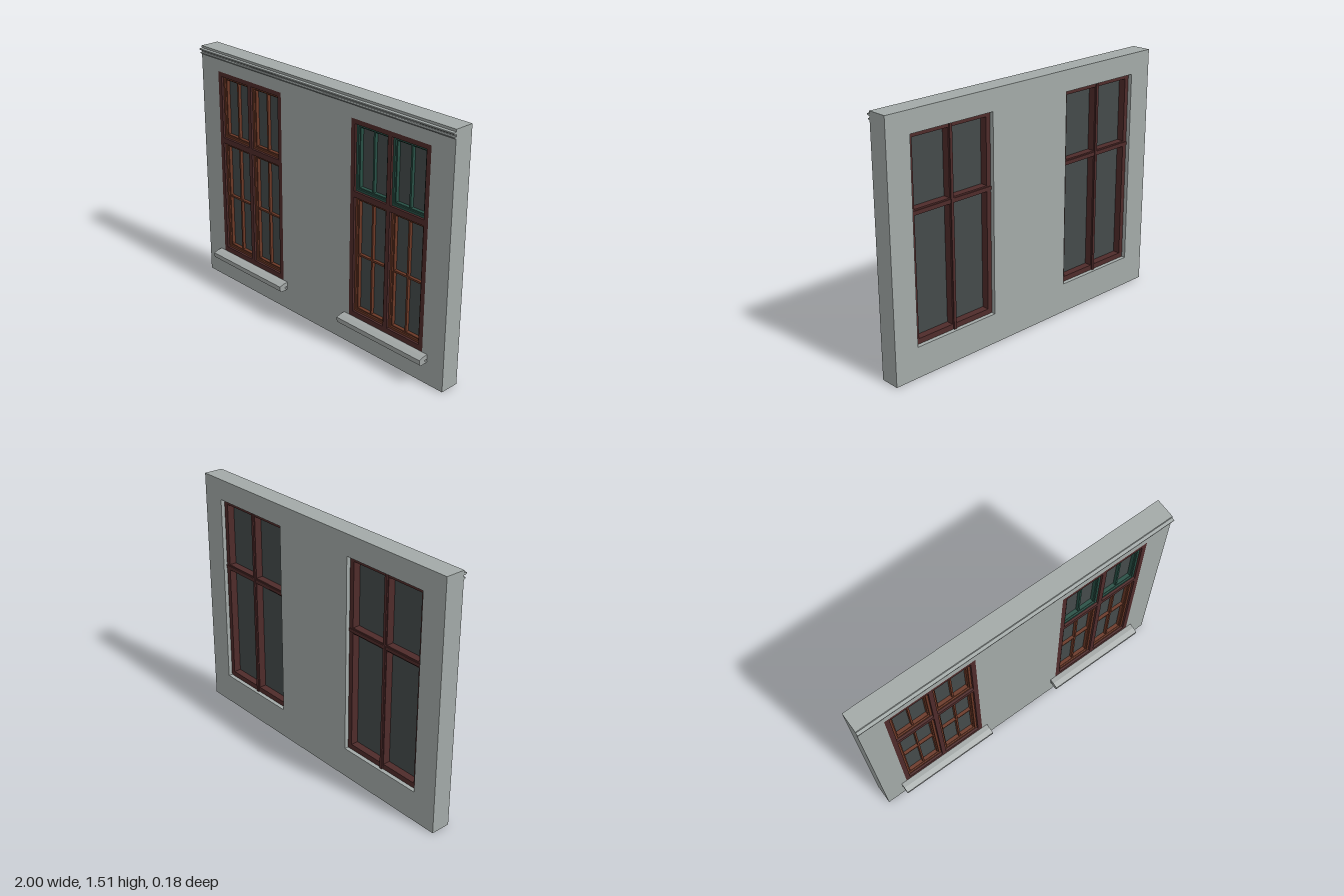
import * as THREE from 'three';

const mat = (name, color) => {
  const m = new THREE.MeshStandardMaterial({ color });
  m.name = name;
  return m;
};

export function createModel() {
  const plaster = mat('grey plaster', 0xa3aaa8);
  const stone = mat('sill stone', 0xa1a6a5);
  const darkWood = mat('dark red wood', 0x4f2b2a);
  const brownWood = mat('brown wood', 0x6b3826);
  const greenWood = mat('green wood', 0x285045);
  const glass = mat('dark glass', 0x444a4a);

  const model = new THREE.Group();
  model.name = 'wallWithWindows';

  const add = (parent, name, geometry, material) => {
    const mesh = new THREE.Mesh(geometry, material);
    mesh.name = name;
    parent.add(mesh);
    return mesh;
  };
  const box = (parent, name, material, x0, x1, y0, y1, z0, z1) => {
    const m = add(parent, name, new THREE.BoxGeometry(x1 - x0, y1 - y0, z1 - z0), material);
    m.position.set((x0 + x1) / 2, (y0 + y1) / 2, (z0 + z1) / 2);
    return m;
  };
  const rect = (T, x0, x1, y0, y1) => new T([
    [x0, y0], [x1, y0], [x1, y1], [x0, y1],
  ].map(p => new THREE.Vector2(...p)));
  // Rectangular panel with rectangular holes, spanning z0..z1
  const panel = (parent, name, material, outer, holes, z0, z1) => {
    const shape = rect(THREE.Shape, ...outer);
    shape.holes = holes.map(h => rect(THREE.Path, ...h));
    const g = new THREE.ExtrudeGeometry(shape, { depth: z1 - z0, bevelEnabled: false });
    g.translate(0, 0, z0);
    return add(parent, name, g, material);
  };
  // (z, y) profile swept along x
  const moulding = (parent, name, material, profile, x0, x1) => {
    const shape = new THREE.Shape(profile.map(([z, y]) => new THREE.Vector2(-z, y)));
    const g = new THREE.ExtrudeGeometry(shape, { depth: x1 - x0, bevelEnabled: false });
    g.rotateY(Math.PI / 2);
    g.translate(x0, 0, 0);
    return add(parent, name, g, material);
  };

  // Wall with two openings
  const W = 0.282, H = 0.187, TOP = 1.386, C = 0.565; // half width, bottom, top, centre
  const openings = [-C, C].map(c => [c - W, c + W, H, TOP]);
  panel(model, 'wall', plaster, [-1, 1, 0, 1.513], openings, -0.09, 0.03);

  // Cornice strips
  moulding(model, 'upperCornice', plaster,
    [[0.03, 1.486], [0.042, 1.486], [0.048, 1.49], [0.048, 1.497], [0.03, 1.499]], -1, 1);
  moulding(model, 'lowerCornice', plaster,
    [[0.03, 1.463], [0.037, 1.464], [0.041, 1.468], [0.041, 1.473], [0.03, 1.474]], -1, 1);

  // Casement with stepped border, glazing bars and pane
  const sash = (parent, material, x0, x1, y0, y1, crossbar) => {
    const g = new THREE.Group();
    g.name = 'sash';
    parent.add(g);
    const inset = d => [x0 + d, x1 - d, y0 + d, y1 - d];
    panel(g, 'sashFrame', material, inset(0), [inset(0.014)], -0.015, 0.016);
    panel(g, 'glazingBead', material, inset(0.014), [inset(0.021)], -0.015, 0.007);
    const cx = (x0 + x1) / 2;
    box(g, 'verticalBar', material, cx - 0.0055, cx + 0.0055, y0 + 0.021, y1 - 0.021, -0.015, 0.005);
    if (crossbar) {
      box(g, 'crossBar', material, x0 + 0.021, x1 - 0.021, crossbar - 0.0055, crossbar + 0.0055, -0.015, 0.004);
    }
    box(g, 'pane', glass, x0, x1, y0, y1, -0.02, -0.015);
  };

  [[-C, brownWood], [C, greenWood]].forEach(([c, upperWood]) => {
    const g = new THREE.Group();
    g.name = c > 0 ? 'leftWindow' : 'rightWindow';
    g.position.x = c;
    model.add(g);

    // Fixed outer frame with four lights
    const lights = [];
    [[0.219, 0.933], [0.968, 1.358]].forEach(([y0, y1]) => {
      lights.push([-W + 0.029, -0.014, y0, y1], [0.014, W - 0.029, y0, y1]);
    });
    panel(g, 'windowFrame', darkWood, [-W, W, H, TOP], lights, -0.065, 0.03);
    // Raised mullion and transom on the inside
    box(g, 'innerMullion', darkWood, -0.009, 0.009, H, TOP, -0.073, -0.065);
    box(g, 'innerTransom', darkWood, -W, W, 0.94, 0.96, -0.07, -0.065);

    lights.forEach(([x0, x1, y0, y1], i) =>
      sash(g, i < 2 ? brownWood : upperWood, x0, x1, y0, y1, i < 2 ? 0.577 : 0));

    // Sloping sill with a slot against the wall
    moulding(g, 'sill', stone, [
      [0.03, 0.186], [0.03, 0.157], [0.05, 0.157], [0.05, 0.149], [0.03, 0.149],
      [0.03, 0.139], [0.055, 0.136], [0.08, 0.136], [0.09, 0.144], [0.092, 0.174], [0.06, 0.184],
    ].reverse(), -0.319, 0.319);
  });

  return model;
}
